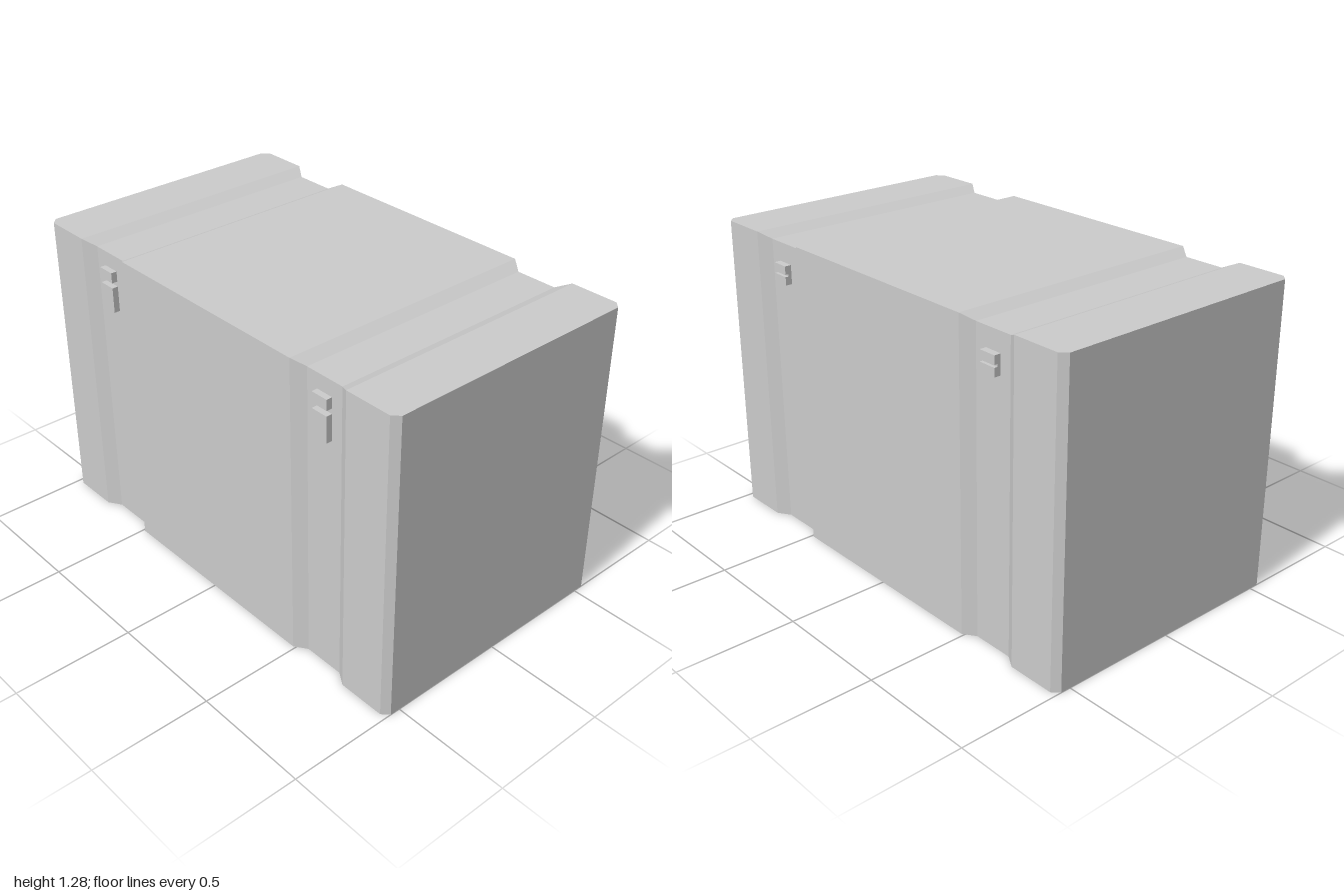
import * as THREE from 'three';

const material = new THREE.MeshStandardMaterial({ color: 0xcccccc, flatShading: true });

// Loft of rectangular sections along x: each station is [x, half depth, height]
function loftBody(stations) {
  const corners = stations.map(([x, d, h]) => [[x, 0, d], [x, h, d], [x, h, -d], [x, 0, -d]]);
  const pos = [];
  const quad = (a, b, c, d) => pos.push(...a, ...b, ...c, ...a, ...c, ...d);
  for (let i = 0; i < corners.length - 1; i++) {
    const a = corners[i], b = corners[i + 1];
    for (let k = 0; k < 4; k++) {
      const n = (k + 1) % 4;
      quad(a[k], b[k], b[n], a[n]);
    }
  }
  const first = corners[0], last = corners[corners.length - 1];
  quad(first[0], first[1], first[2], first[3]);
  quad(last[3], last[2], last[1], last[0]);
  const geo = new THREE.BufferGeometry();
  geo.setAttribute('position', new THREE.Float32BufferAttribute(pos, 3));
  geo.computeVertexNormals();
  return geo;
}

function plate(name, y0, y1, z0, z1) {
  const mesh = new THREE.Mesh(new THREE.BoxGeometry(0.075, y1 - y0, z1 - z0), material);
  mesh.name = name;
  mesh.position.set(0, (y0 + y1) / 2, (z0 + z1) / 2);
  return mesh;
}

export function createModel() {
  const model = new THREE.Group();
  model.name = 'storageCrate';

  // Body: chamfered ends, and shallow grooves on the front, top and back
  const half = [
    [0.49, 0.57, 1.285], [0.54, 0.535, 1.26], [0.715, 0.535, 1.26],
    [0.77, 0.57, 1.285], [0.972, 0.57, 1.285], [1, 0.543, 1.285],
  ];
  const mirrored = half.map(([x, d, h]) => [-x, d, h]).reverse();
  const body = new THREE.Mesh(loftBody([...mirrored, ...half]), material);
  body.name = 'body';
  model.add(body);

  for (const side of [-1, 1]) {
    // Two-piece latch on the front
    const latch = new THREE.Group();
    latch.name = side > 0 ? 'leftLatch' : 'rightLatch';
    latch.position.x = side * 0.628;
    latch.add(plate('latchCatch', 1.152, 1.196, 0.525, 0.56));
    latch.add(plate('latchLever', 1.022, 1.13, 0.525, 0.56));

    // Two-leaf hinge on the back
    const hinge = new THREE.Group();
    hinge.name = side > 0 ? 'leftHinge' : 'rightHinge';
    hinge.position.x = side * 0.628;
    hinge.add(plate('hingeUpperLeaf', 1.145, 1.18, -0.563, -0.525));
    hinge.add(plate('hingeLowerLeaf', 1.1, 1.135, -0.563, -0.525));
    hinge.add(plate('hingePin', 1.13, 1.15, -0.55, -0.525));
    model.add(latch, hinge);
  }
  return model;
}
